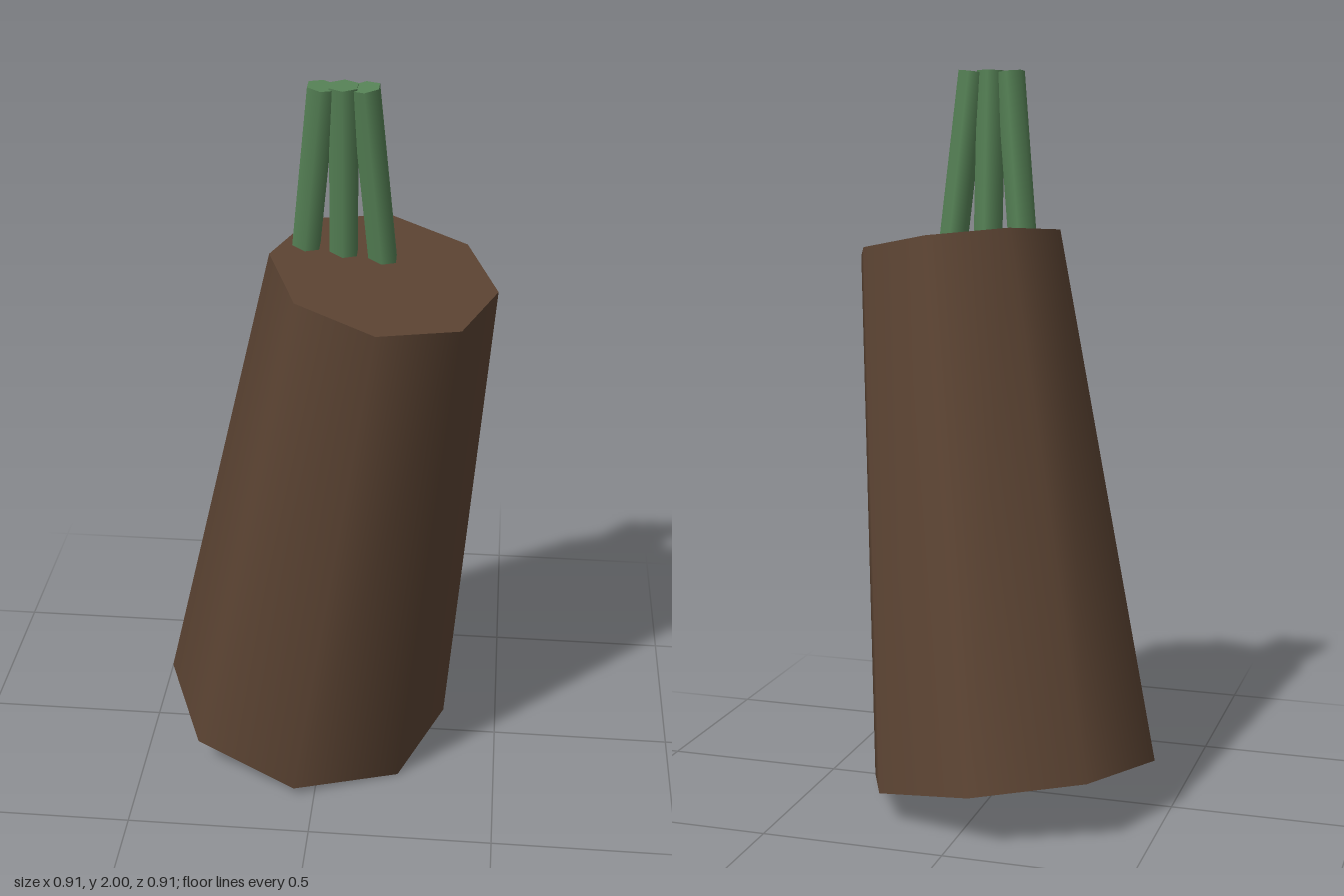
import * as THREE from 'three';

export function createModel() {
  const model = new THREE.Group();
  const bodyMaterial = new THREE.MeshStandardMaterial({ color: 0x5c4433 });
  const stemMaterial = new THREE.MeshStandardMaterial({ color: 0x568256 });

  // Cylinder standing on its base point, then leaned by small angles
  function leaningCylinder(name, rTop, rBottom, height, sides, material, base, leanZ, leanX) {
    const geometry = new THREE.CylinderGeometry(rTop, rBottom, height, sides);
    geometry.translate(0, height / 2, 0);
    const mesh = new THREE.Mesh(geometry, material);
    mesh.name = name;
    mesh.position.set(...base);
    mesh.rotation.set(leanZ, 0, -leanX);
    model.add(mesh);
  }

  // Tapered eight-sided root, leaning to its left and forward
  leaningCylinder('rootBody', 0.293, 0.408, 1.47, 8, bodyMaterial, [-0.057, 0.089, -0.054], 0.15, 0.15);

  // Three stems converging towards their tops, sunk a little into the root
  const names = ['rightStem', 'middleStem', 'leftStem'];
  [-1, 0, 1].forEach((side, i) => {
    leaningCylinder(names[i], 0.04, 0.04, 0.5, 6, stemMaterial,
      [0.055 + side * 0.103, 1.498, 0.084], 0.076, -side * 0.1);
  });

  return model;
}
